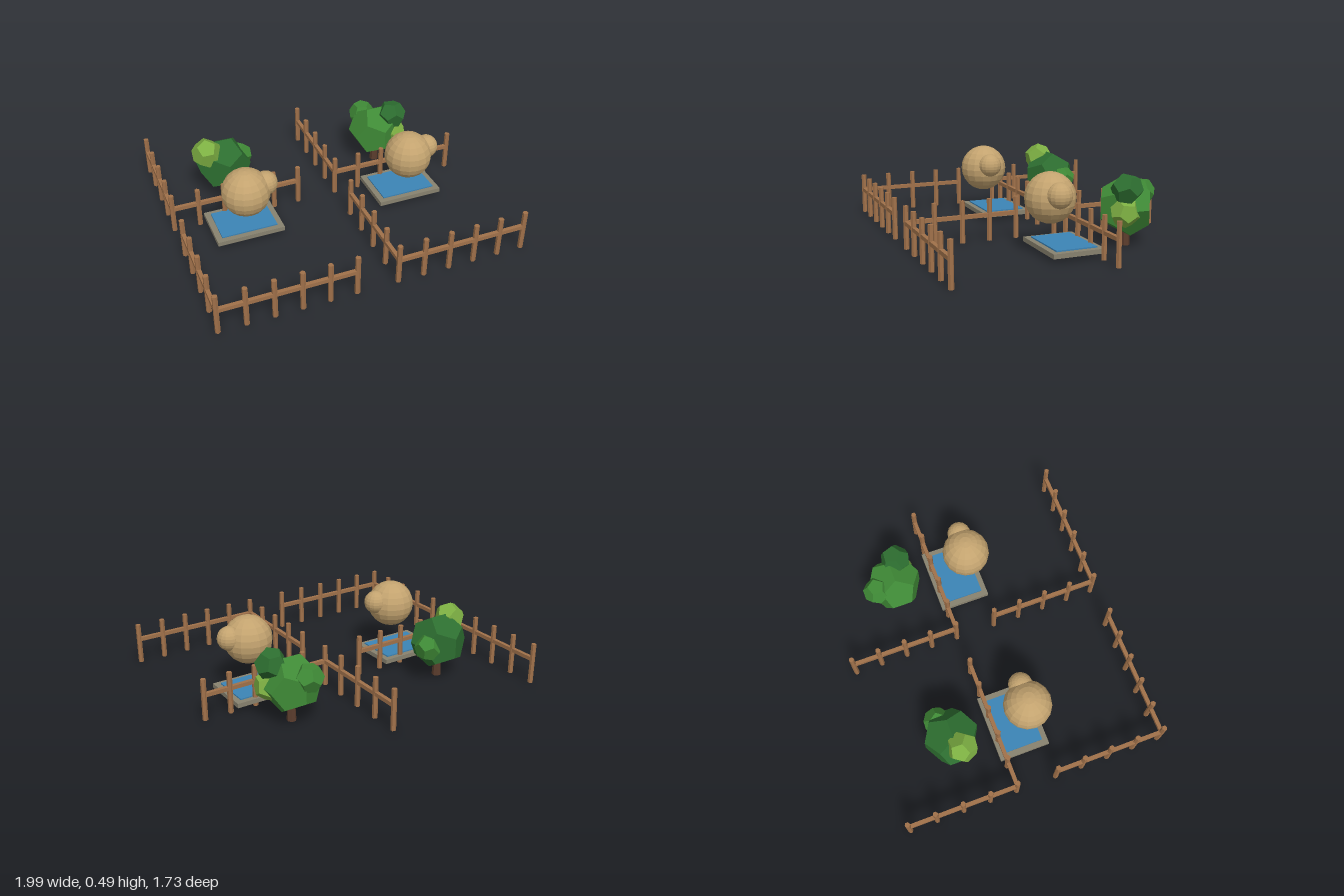
import * as THREE from 'three';

const mat = (name, color) => {
  const m = new THREE.MeshStandardMaterial({ color, flatShading: true });
  m.name = name;
  return m;
};

export function createModel() {
  const model = new THREE.Group();
  model.name = 'pens';

  const wood = mat('fence wood', 0xa0714a);
  const bark = mat('dark bark', 0x5a3c2c);
  const wool = mat('tan wool', 0xc3a36f);
  const stone = mat('grey stone', 0x88826f);
  const water = mat('blue water', 0x3c84b6);
  const darkLeaf = mat('dark leaf', 0x2d6e30);
  const midLeaf = mat('mid leaf', 0x3f8a36);
  const lightLeaf = mat('light leaf', 0x7cae42);

  const add = (parent, name, geometry, material, x, y, z) => {
    const mesh = new THREE.Mesh(geometry, material);
    mesh.name = name;
    mesh.position.set(x, y, z);
    parent.add(mesh);
    return mesh;
  };

  const postGeometry = new THREE.CylinderGeometry(0.017, 0.017, 0.268, 6);

  // Straight fence from (x0, z0) to (x1, z1); the start post can be left to a neighbour
  function fence(parent, x0, z0, x1, z1, spans, first = 0) {
    const group = new THREE.Group();
    group.name = 'fence';
    for (let i = first; i <= spans; i++) {
      const t = i / spans;
      add(group, 'fencePost', postGeometry, wood, x0 + (x1 - x0) * t, 0.134, z0 + (z1 - z0) * t);
    }
    const rail = new THREE.BoxGeometry(Math.abs(x1 - x0) || 0.025, 0.025, Math.abs(z1 - z0) || 0.025);
    add(group, 'fenceRail', rail, wood, (x0 + x1) / 2, 0.164, (z0 + z1) / 2);
    parent.add(group);
  }

  // Trunk with a large crown and smaller leaf clumps: [material, x, y, z, radius]
  function tree(parent, crown, clumps) {
    const group = new THREE.Group();
    group.name = 'tree';
    group.position.z = -0.42;
    add(group, 'trunk', new THREE.CylinderGeometry(0.022, 0.03, 0.16, 7), bark, 0, 0.08, 0);
    add(group, 'crown', new THREE.DodecahedronGeometry(0.183), crown, 0, 0.242, 0);
    for (const [material, x, y, z, r] of clumps) {
      add(group, 'leafClump', new THREE.DodecahedronGeometry(r), material, x, y, z).rotation.set(x * 5, y * 4, z * 6);
    }
    parent.add(group);
  }

  const trees = [
    [darkLeaf, [[lightLeaf, -0.115, 0.365, 0.035, 0.1], [midLeaf, 0.125, 0.24, -0.05, 0.088]]],
    [midLeaf, [[darkLeaf, 0.1, 0.37, 0.05, 0.1], [lightLeaf, 0.11, 0.23, 0.065, 0.093],
      [midLeaf, -0.045, 0.315, -0.13, 0.09]]],
  ];

  // Two matching pens side by side
  [-0.558, 0.556].forEach((px, i) => {
    const pen = new THREE.Group();
    pen.name = 'pen';
    pen.position.x = px;
    model.add(pen);

    // Back and front corner fences
    for (const z of [-0.138, 0.843]) {
      fence(pen, -0.424, z, 0.424, z, 5);
      fence(pen, -0.424, z, -0.424, z - 0.713, 4, 1);
    }

    // Water trough
    add(pen, 'troughBase', new THREE.BoxGeometry(0.44, 0.029, 0.332), stone, 0, 0.042, 0);
    add(pen, 'troughWater', new THREE.BoxGeometry(0.365, 0.012, 0.262), water, 0, 0.059, 0);

    // Round animal
    const animal = new THREE.Group();
    animal.name = 'animal';
    add(animal, 'body', new THREE.SphereGeometry(0.154, 16, 12), wool, 0, 0.338, 0.088);
    add(animal, 'head', new THREE.SphereGeometry(0.077, 16, 12), wool, 0.129, 0.372, 0.088);
    pen.add(animal);

    tree(pen, ...trees[i]);
  });

  return model;
}
